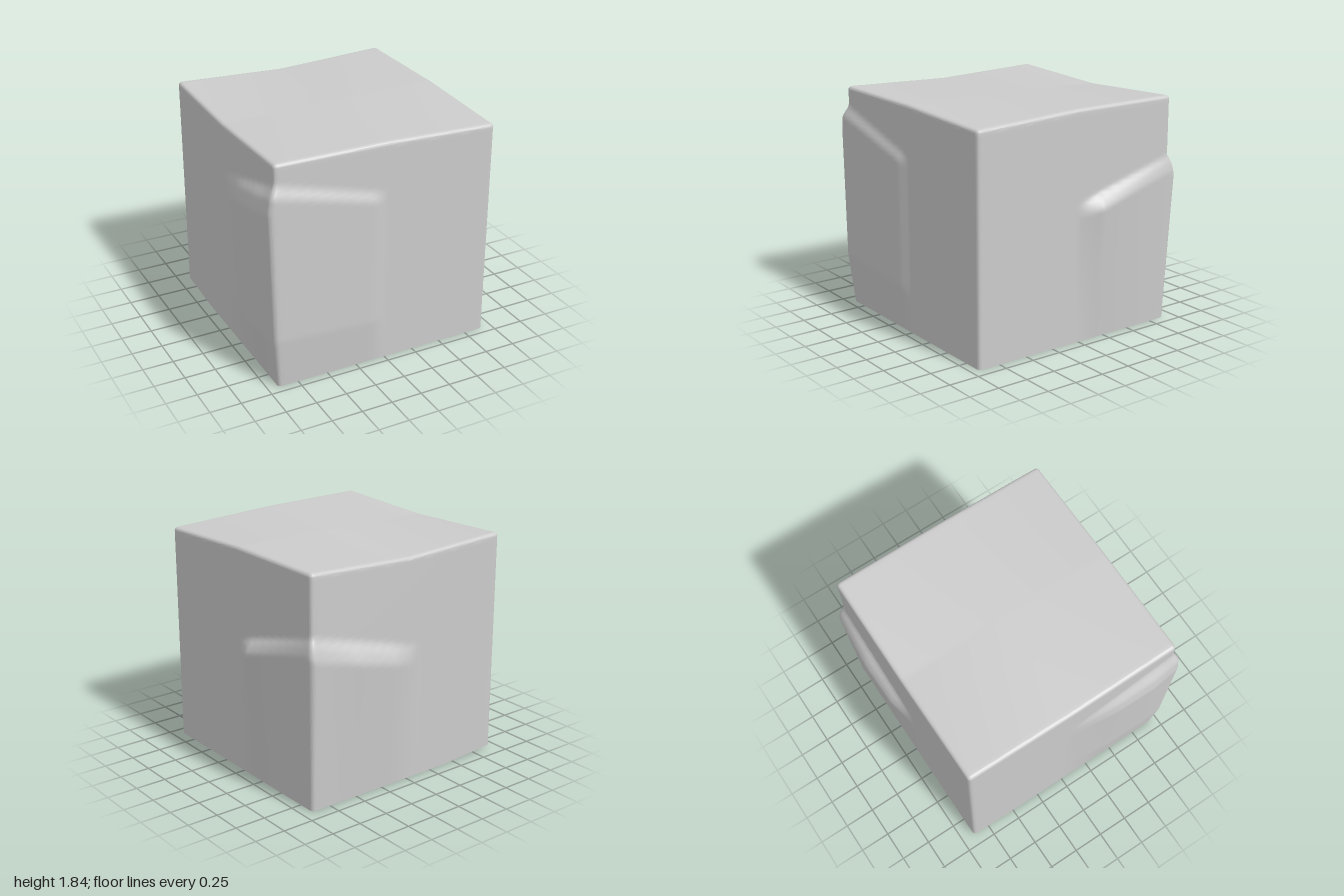
import * as THREE from 'three';
import { mergeVertices, toCreasedNormals } from 'three/addons/utils/BufferGeometryUtils.js';

const HALF = 0.916, HEIGHT = 1.84, MID_Z = 0.02, RADIUS = 0.03, N = 72;

// Piecewise-linear lookup through [position, value] pairs
function curve(points, t) {
  if (t <= points[0][0]) return points[0][1];
  for (let i = 1; i < points.length; i++) {
    const [a, va] = points[i - 1], [b, vb] = points[i];
    if (t <= b) return va + (vb - va) * (t - a) / (b - a);
  }
  return points[points.length - 1][1];
}

// Two opposite corners swell out below a sloping ledge.
// alongX / alongZ: bulge depth against distance from the centre toward the corner.
const bulges = [
  {
    sx: -1, sz: 1, ledgeLow: 1.43, ledgeHigh: 1.68,
    outX: [[0, 0], [0.4, 0.065], [0.7, 0.084], [0.92, 0.06]],
    outZ: [[0, 0], [0.12, 0.032], [0.9, 0.042]],
    riseX: [[0, 0], [0.24, 0.6], [0.88, 1], [0.95, 0.7], [1, 0]],
    riseZ: [[0, 0], [0.25, 0.97], [0.95, 1], [1, 0]],
  },
  {
    sx: 1, sz: -1, ledgeLow: 1.11, ledgeHigh: 1.365,
    outX: [[0, 0], [0.19, 0.084], [0.9, 0.035]],
    outZ: [[-0.1, 0], [0.17, 0.07], [0.5, 0.085], [0.9, 0.055]],
    riseX: [[0, 0], [0.91, 1], [0.96, 0.6], [1, 0]],
    riseZ: [[0, 0], [0.88, 1], [0.95, 0.6], [1, 0]],
  },
];

// Top heights, rows from back to front, columns from -x to +x
const topHeights = [[1.84, 1.8, 1.84], [1.81, 1.83, 1.84], [1.84, 1.835, 1.8]];

function topHeight(x, z) {
  const row = topHeights.map(([a, b, c]) => curve([[-0.9, a], [0, b], [0.9, c]], x));
  return curve([[-0.9, row[0]], [0, row[1]], [0.9, row[2]]], z);
}

// Packs four grid cells into each rounded edge
function gridLine(t) {
  const i = Math.round((t + 1) * N / 2);
  const e = RADIUS / HALF;
  return curve([[0, -1], [4, -1 + e], [N - 4, 1 - e], [N, 1]], i);
}

function blockGeometry() {
  let geo = new THREE.BoxGeometry(2, 2, 2, N, N, N);
  geo.deleteAttribute('normal');
  geo.deleteAttribute('uv');
  const pos = geo.attributes.position;
  const p = new THREE.Vector3(), inner = new THREE.Vector3();
  const limit = HALF - RADIUS;
  for (let i = 0; i < pos.count; i++) {
    p.set(gridLine(pos.getX(i)) * HALF, (gridLine(pos.getY(i)) + 1) * HEIGHT / 2, gridLine(pos.getZ(i)) * HALF);

    // Round the upright and top edges, leave the base sharp
    inner.set(THREE.MathUtils.clamp(p.x, -limit, limit), Math.min(p.y, HEIGHT - RADIUS),
      THREE.MathUtils.clamp(p.z, -limit, limit));
    p.sub(inner);
    if (p.length() > RADIUS) p.setLength(RADIUS);
    p.add(inner);
    const { x, y, z } = p;

    // Corner bulges
    for (const b of bulges) {
      const u = x * b.sx, v = z * b.sz;
      const ledge = (t) => curve([[0, b.ledgeLow], [0.9, b.ledgeHigh]], t);
      if (u > 0) p.x += b.sx * curve(b.outX, v) * curve(b.riseX, y / ledge(v)) * (u / HALF) ** 8;
      if (v > 0) p.z += b.sz * curve(b.outZ, u) * curve(b.riseZ, y / ledge(u)) * (v / HALF) ** 8;
    }

    // Wavy top and slightly lifted back corner of the base
    const h = y / HEIGHT;
    p.y += (topHeight(x, z) - HEIGHT) * h ** 6;
    const lift = curve([[0.4, 0], [0.9, 1]], -x) * curve([[0.4, 0], [0.9, 1]], -z);
    p.y += 0.03 * lift * (1 - h) ** 6;

    pos.setXYZ(i, p.x, p.y, p.z + MID_Z);
  }
  geo = mergeVertices(geo, 1e-5);
  return toCreasedNormals(geo, 0.75);
}

export function createModel() {
  const group = new THREE.Group();
  group.name = 'stoneBlock';
  const block = new THREE.Mesh(blockGeometry(), new THREE.MeshStandardMaterial({ color: 0xcccccc }));
  block.name = 'block';
  group.add(block);
  return group;
}
